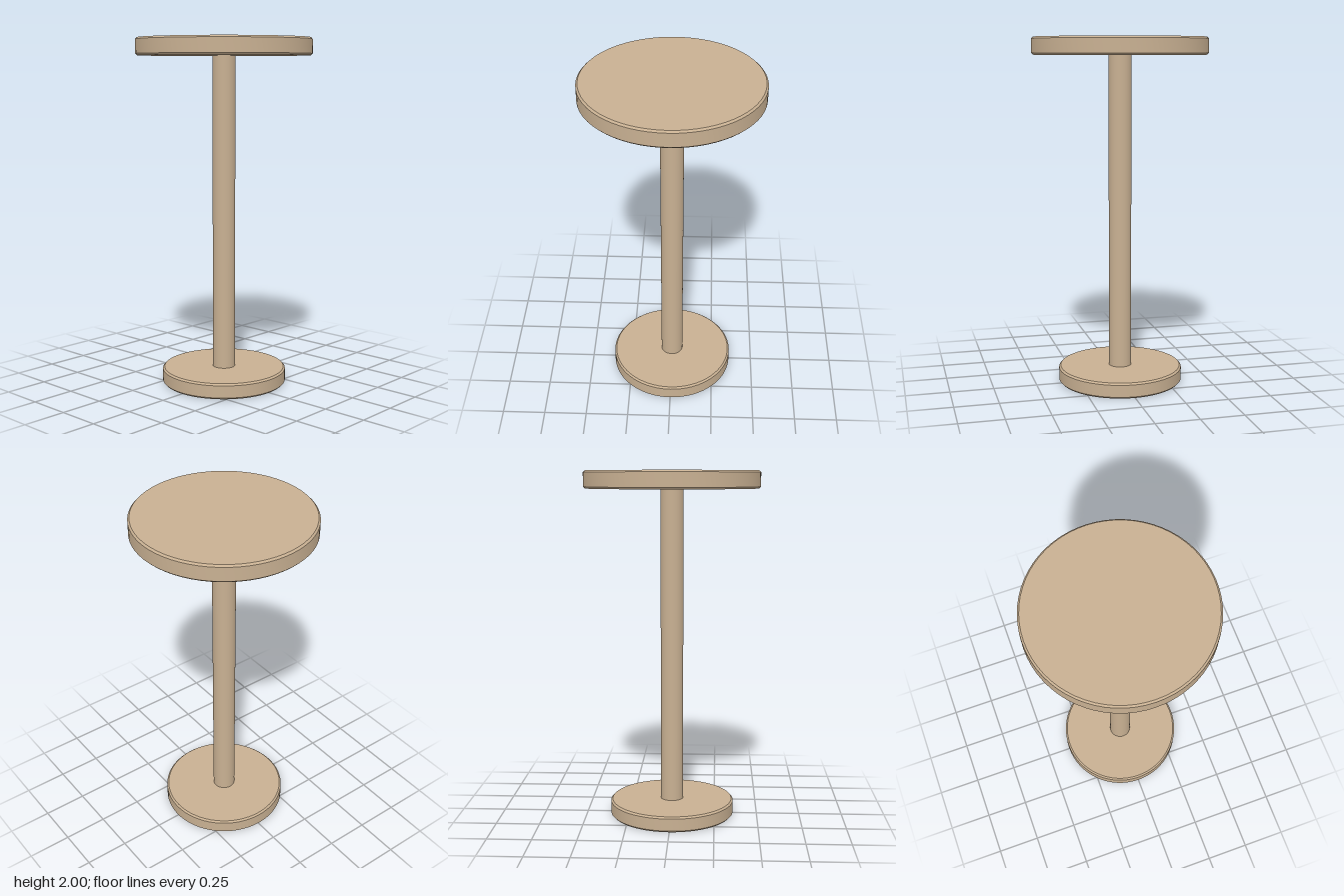
import * as THREE from 'three';
import { toCreasedNormals } from 'three/addons/utils/BufferGeometryUtils.js';

const SEGMENTS = 64;

// Solid disc from y0 to y1 with a small bevel on both rims
function bevelledDisc(radius, y0, y1, bevel) {
  const profile = [
    [0, y0],
    [radius - bevel, y0],
    [radius, y0 + bevel],
    [radius, y1 - bevel],
    [radius - bevel, y1],
    [0, y1],
  ].map(([x, y]) => new THREE.Vector2(x, y));
  return toCreasedNormals(new THREE.LatheGeometry(profile, SEGMENTS), 0.5);
}

export function createModel() {
  const model = new THREE.Group();
  model.name = 'pedestalTable';

  const wood = new THREE.MeshStandardMaterial({ color: 0xc8b092 });
  wood.name = 'lightWood';

  const add = (name, geometry) => {
    const mesh = new THREE.Mesh(geometry, wood);
    mesh.name = name;
    model.add(mesh);
    return mesh;
  };

  // Round foot and table top
  add('base', bevelledDisc(0.36, 0, 0.09, 0.01));
  add('tableTop', bevelledDisc(0.5, 1.9, 2, 0.01));

  // Central post, open ended because both ends sit against the discs
  const post = add('post', new THREE.CylinderGeometry(0.065, 0.065, 1.82, SEGMENTS, 1, true));
  post.position.y = 0.995;

  return model;
}
